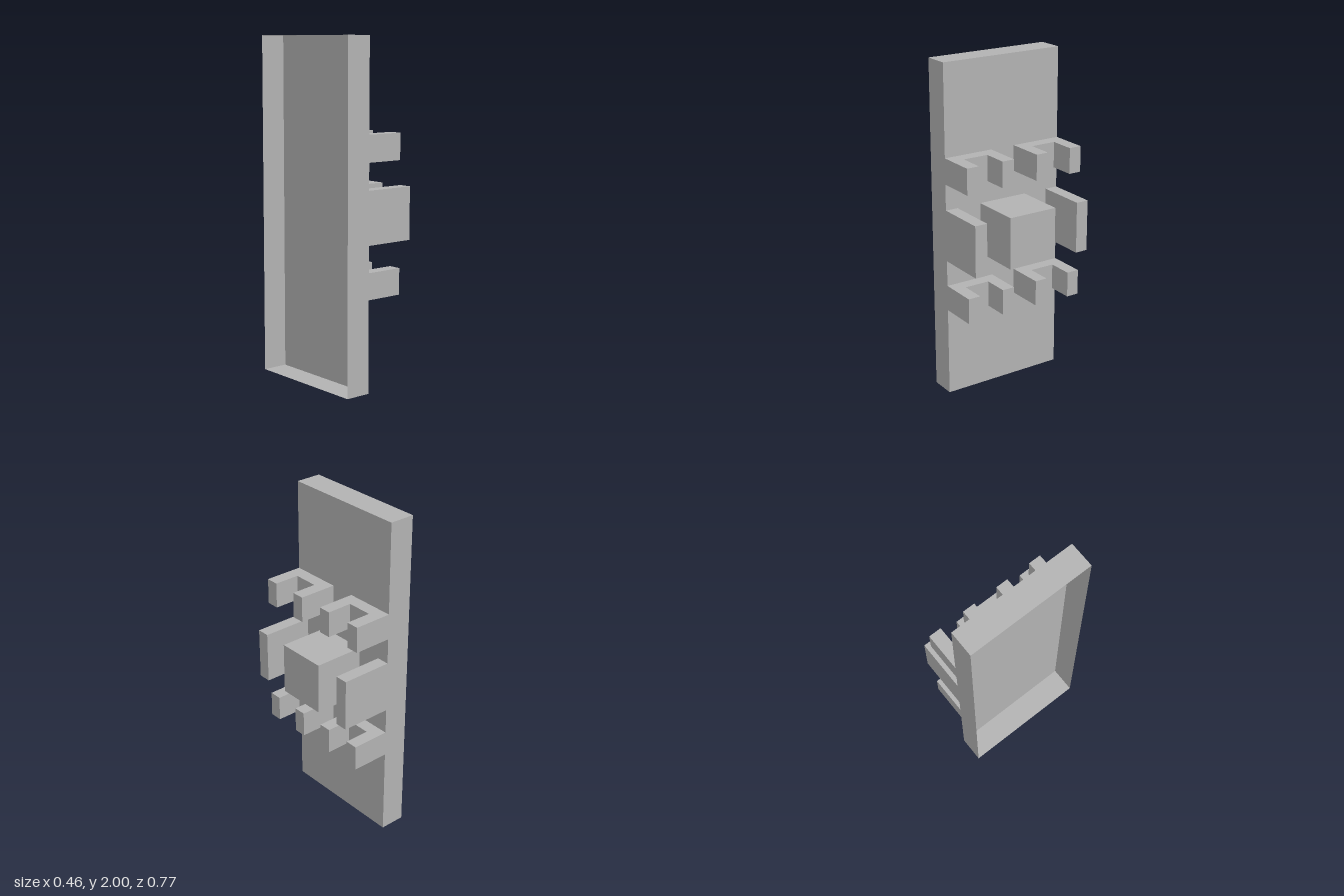
import * as THREE from 'three';

const U = 1 / 13; // grid module: the panel is 26 units tall

// Box spanning unit ranges, with its -x face left open
function openBox([x0, x1], [y0, y1], [z0, z1]) {
  const g = new THREE.BoxGeometry((x1 - x0) * U, (y1 - y0) * U, (z1 - z0) * U);
  const index = Array.from(g.index.array);
  index.splice(6, 6);
  g.setIndex(index);
  g.clearGroups();
  g.translate((x0 + x1) * U / 2, (y0 + y1) * U / 2, (z0 + z1) * U / 2);
  return g;
}

// U-shaped bracket with its prongs pointing to +x
function bracketGeometry() {
  const outline = [[-1, 1], [2, 1], [2, 2], [0, 2], [0, 4], [2, 4], [2, 5], [-1, 5]];
  const shape = new THREE.Shape(outline.map(([x, z]) => new THREE.Vector2(x * U, z * U)));
  const g = new THREE.ExtrudeGeometry(shape, { depth: 2 * U, bevelEnabled: false });
  g.rotateX(Math.PI / 2); // outline y becomes z, top lies at y = 0
  return g;
}

export function createModel() {
  const model = new THREE.Group();
  const grey = new THREE.MeshStandardMaterial({ color: 0xb2b2b2, side: THREE.DoubleSide });
  grey.name = 'grey';

  function add(name, geometry) {
    const mesh = new THREE.Mesh(geometry, grey);
    mesh.name = name;
    model.add(mesh);
    return mesh;
  }

  // Hollow panel, open on the side away from the brackets
  add('panel', openBox([-3, -1], [0, 26], [-5, 5]));

  // Central block and the two flanking plates
  add('centreBlock', openBox([-1, 3], [11, 15], [-2, 2]));
  add('frontPlate', openBox([-1, 3], [11, 15], [4, 5]));
  add('backPlate', openBox([-1, 3], [11, 15], [-5, -4]));

  // Four brackets, two above and two below the block
  const bracket = bracketGeometry();
  for (const [level, top] of [['lower', 9], ['upper', 19]]) {
    add(level + 'FrontBracket', bracket).position.y = top * U;
    add(level + 'BackBracket', bracket).position.set(0, top * U, -6 * U);
  }
  return model;
}
